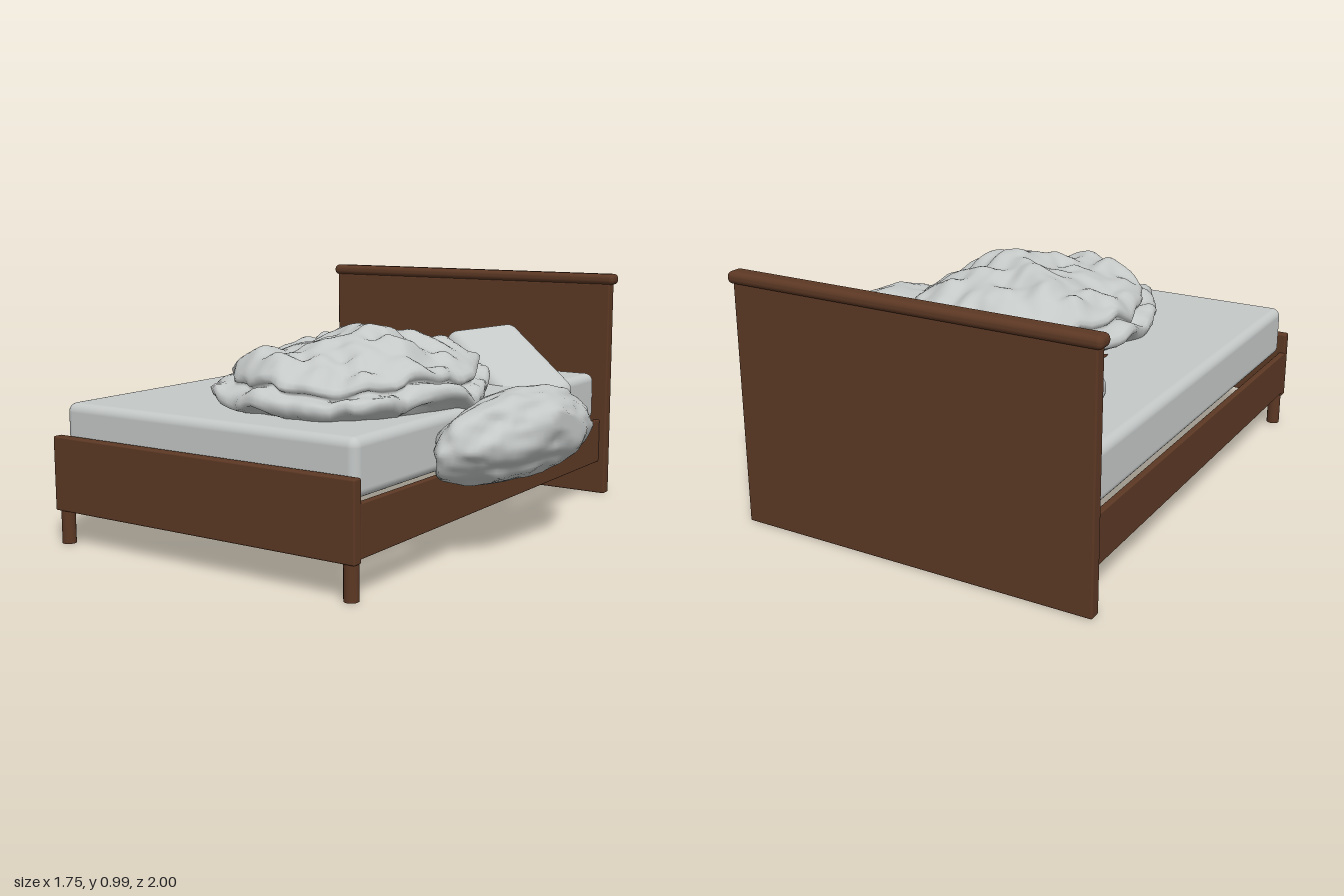
import * as THREE from 'three';
import { RoundedBoxGeometry } from 'three/addons/geometries/RoundedBoxGeometry.js';
import { mergeVertices } from 'three/addons/utils/BufferGeometryUtils.js';

const wood = new THREE.MeshStandardMaterial({ color: 0x5c3824 });
wood.name = 'brown wood';
const linen = new THREE.MeshStandardMaterial({ color: 0xc4c8c7 });
linen.name = 'pale grey linen';

// Smooth value noise in -1..1
const hash = (x, y, z) => {
  const s = Math.sin(x * 127.1 + y * 311.7 + z * 74.7) * 43758.5453;
  return (s - Math.floor(s)) * 2 - 1;
};
function noise(x, y, z) {
  const i = [x, y, z].map(Math.floor);
  const [u, v, w] = [x, y, z].map((c, k) => { const f = c - i[k]; return f * f * (3 - 2 * f); });
  let sum = 0;
  for (let a = 0; a < 2; a++) for (let b = 0; b < 2; b++) for (let c = 0; c < 2; c++)
    sum += hash(i[0] + a, i[1] + b, i[2] + c) * (a ? u : 1 - u) * (b ? v : 1 - v) * (c ? w : 1 - w);
  return sum;
}

// Rounded box given by its limits along each axis
function slab(name, material, [x0, x1], [y0, y1], [z0, z1], radius) {
  const geo = new RoundedBoxGeometry(x1 - x0, y1 - y0, z1 - z0, 4, radius);
  const mesh = new THREE.Mesh(geo, material);
  mesh.name = name;
  mesh.position.set((x0 + x1) / 2, (y0 + y1) / 2, (z0 + z1) / 2);
  return mesh;
}

// Soft pillow: a rounded block, slightly plumper in the middle
function pillow(name, position, yaw, pitch, roll) {
  const geo = new RoundedBoxGeometry(0.56, 0.11, 0.35, 8, 0.05);
  const mesh = new THREE.Mesh(geo, linen);
  mesh.name = name;
  mesh.position.set(...position);
  mesh.rotation.set(pitch, yaw, roll, 'YXZ');
  return mesh;
}

// Sphere whose vertices are moved by a rule acting on unit directions
function moulded(name, columns, rows, rule) {
  const geo = new THREE.SphereGeometry(1, columns, rows);
  geo.deleteAttribute('uv');
  geo.deleteAttribute('normal');
  const merged = mergeVertices(geo, 1e-5);
  const p = merged.attributes.position;
  const v = new THREE.Vector3();
  for (let i = 0; i < p.count; i++) {
    rule(v.fromBufferAttribute(p, i));
    p.setXYZ(i, v.x, v.y, v.z);
  }
  merged.computeVertexNormals();
  const mesh = new THREE.Mesh(merged, linen);
  mesh.name = name;
  return mesh;
}

// Folded duvet heap: [radius, height] profile from crown to tucked-under hem
const duvetProfile = [
  [0, 0.805], [0.2, 0.8], [0.42, 0.78], [0.6, 0.75], [0.76, 0.715], [0.86, 0.675],
  [0.88, 0.65], [0.84, 0.635], [0.91, 0.625], [0.98, 0.6], [0.98, 0.575], [0.9, 0.55],
  [0.75, 0.52], [0.4, 0.5], [0, 0.5],
].map(([r, y]) => new THREE.Vector3(r, y, 0));
const duvetCurve = new THREE.CatmullRomCurve3(duvetProfile);

function duvet() {
  return moulded('crumpledDuvet', 120, 80, (v) => {
    const t = Math.acos(THREE.MathUtils.clamp(v.y, -1, 1)) / Math.PI;
    const ring = Math.hypot(v.x, v.z) || 1;
    const c = t < 1e-4 || t > 0.9999 ? 0 : v.x / ring;
    const s = t < 1e-4 || t > 0.9999 ? 0 : v.z / ring;
    const q = duvetCurve.getPointAt(t);
    const edge = 1 + q.x * (0.05 * noise(c * 3 + 5, q.y * 12, s * 3) + 0.035 * noise(c * 8, q.y * 14, s * 8 + 3));
    const x = 0.05 + c * q.x * edge * 0.51;
    const z = 0.235 + s * q.x * edge * 0.61;
    const lump = 0.03 * noise(x * 7, 2, z * 7) + 0.022 * noise(x * 15, 5, z * 15);
    const fade = q.y > 0.54 ? 1 : 0;
    // the crown leans gently towards +x
    v.set(x, q.y + fade * (lump + 0.04 * (x - 0.05) * (1 - q.x)), z);
  });
}

// Bundle of bedding hanging over the side of the bed
function bundle() {
  return moulded('hangingBedding', 64, 48, (v) => {
    const bump = 1 + 0.1 * noise(v.x * 2 + 7, v.y * 2, v.z * 2.4) + 0.05 * noise(v.x * 5, v.y * 5, v.z * 6 + 1);
    const y = v.y * 0.178 * bump;
    const z = v.z * 0.43 * bump;
    const x = 0.68 + v.x * 0.19 * bump + 0.25 * y - 0.1 * z;
    v.set(THREE.MathUtils.clamp(x, 0.5, 0.875), 0.435 + y, 0.105 + z);
  });
}

export function createModel() {
  const bed = new THREE.Group();
  bed.name = 'bed';

  // Wooden frame
  bed.add(
    slab('headboard', wood, [-0.855, 0.6], [0, 0.942], [-0.985, -0.935], 0.007),
    slab('headboardCap', wood, [-0.875, 0.62], [0.938, 0.985], [-1, -0.925], 0.021),
    slab('footboard', wood, [-0.825, 0.57], [0.13, 0.42], [0.958, 1], 0.007),
    slab('rightRail', wood, [-0.825, -0.8], [0.145, 0.335], [-0.94, 0.965], 0.005),
    slab('leftRail', wood, [0.545, 0.57], [0.145, 0.335], [-0.94, 0.965], 0.005),
  );
  for (const [name, x] of [['rightFootLeg', -0.79], ['leftFootLeg', 0.535]]) {
    const leg = new THREE.Mesh(new THREE.CylinderGeometry(0.027, 0.027, 0.15, 20), wood);
    leg.name = name;
    leg.position.set(x, 0.075, 0.968);
    bed.add(leg);
  }

  // Mattress
  bed.add(slab('mattress', linen, [-0.8, 0.545], [0.335, 0.545], [-0.93, 0.955], 0.035));

  // Pillows: one lying flat, one slumped over the edge
  bed.add(
    pillow('flatPillow', [-0.42, 0.607, -0.7], 0.29, 0.03, -0.05),
    pillow('slumpedPillow', [0.29, 0.594, -0.58], -0.562, 0.07, -0.43),
  );

  // Loose bedding
  bed.add(duvet(), bundle());

  // Sliver of wood showing beside the duvet
  const sliver = new THREE.Mesh(new THREE.SphereGeometry(1, 16, 8), wood);
  sliver.name = 'woodSliver';
  sliver.scale.set(0.02, 0.004, 0.06);
  sliver.position.set(-0.395, 0.547, -0.05);
  sliver.rotation.y = -0.25;
  bed.add(sliver);

  return bed;
}
